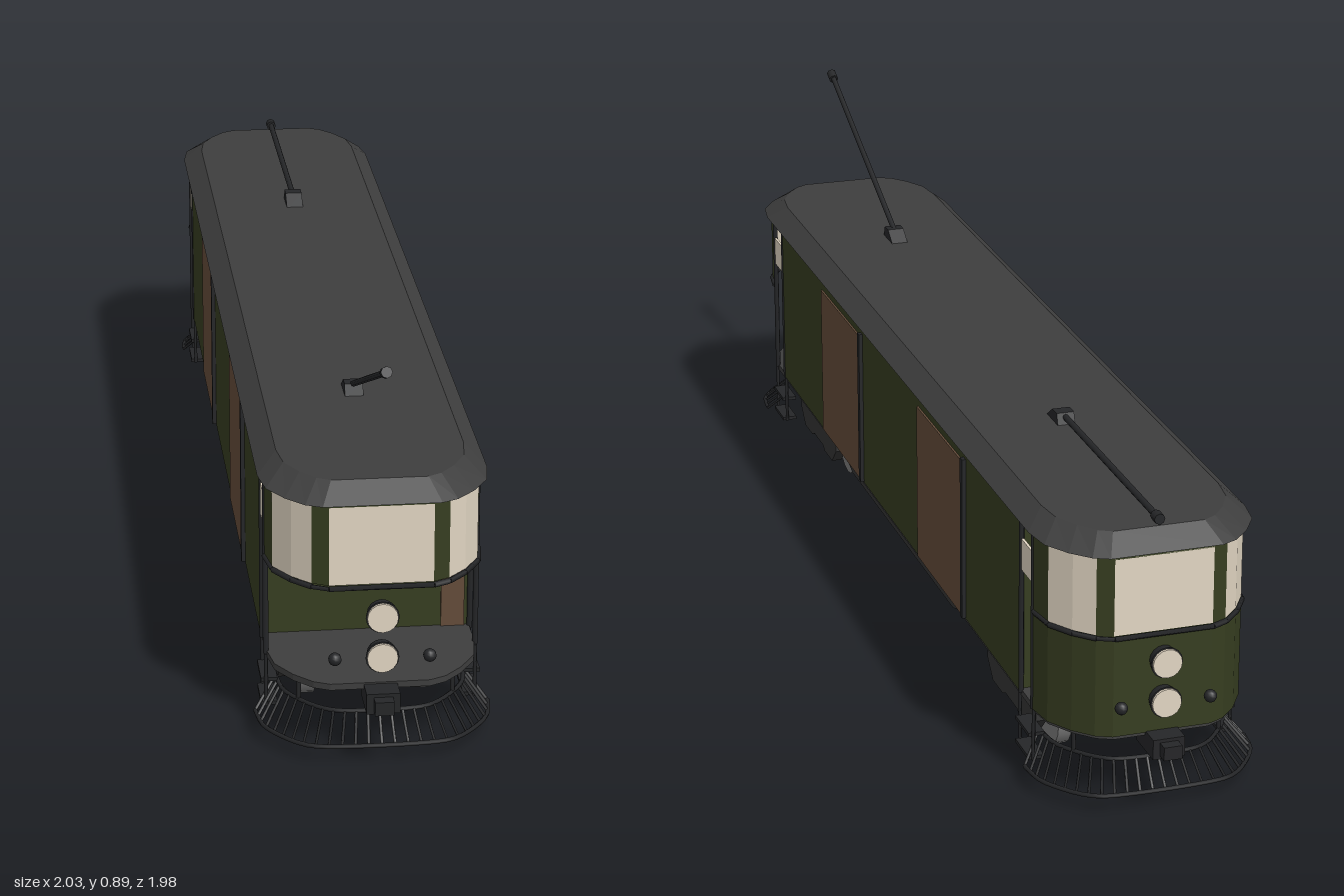
import * as THREE from 'three';

const material = (name, color, double) => {
  const m = new THREE.MeshStandardMaterial({ color });
  m.name = name;
  if (double) m.side = THREE.DoubleSide;
  return m;
};

export function createModel() {
  const green = material('bodyGreen', 0x363d20, true);
  const cream = material('paneCream', 0xe2d6c3, true);
  const brown = material('doorBrown', 0x644c3a);
  const roofGrey = material('roofGrey', 0x3e3e3e);
  const frameGrey = material('frameGrey', 0x353535);
  const iron = material('darkIron', 0x252628);
  const steel = material('wheelSteel', 0x7c7c7c);

  const model = new THREE.Group();
  model.name = 'tram';
  // The tram is laid out along local x, then turned to stand diagonally.
  const tram = new THREE.Group();
  tram.name = 'tramBody';
  tram.rotation.y = THREE.MathUtils.degToRad(44);
  model.add(tram);

  const add = (name, geo, mat, x = 0, y = 0, z = 0) => {
    const mesh = new THREE.Mesh(geo, mat);
    mesh.name = name;
    mesh.position.set(x, y, z);
    tram.add(mesh);
    return mesh;
  };
  const box = (name, mat, w, h, d, x, y, z) => add(name, new THREE.BoxGeometry(w, h, d), mat, x, y, z);
  const rod = (name, mat, a, b, r, sides = 6) => {
    const from = new THREE.Vector3(...a), to = new THREE.Vector3(...b);
    const mid = from.clone().add(to).multiplyScalar(0.5);
    const mesh = add(name, new THREE.CylinderGeometry(r, r, from.distanceTo(to), sides), mat, mid.x, mid.y, mid.z);
    mesh.quaternion.setFromUnitVectors(new THREE.Vector3(0, 1, 0), to.sub(from).normalize());
    return mesh;
  };

  // Plan of one rounded end, from the doorway post round to the other side
  const half = [[1.06, 0.225], [1.13, 0.214], [1.185, 0.18], [1.224, 0.142], [1.24, 0.108]];
  const mirrored = half.map(([u, v]) => [u, -v]).reverse();
  const endPlan = [...half, ...mirrored];

  // Horizontal slab following the whole plan, grown by a margin
  const slab = (margin, y0, y1) => {
    const pts = [];
    for (const s of [1, -1]) {
      for (const [u, v] of endPlan) {
        pts.push(new THREE.Vector2(s * (u + margin), s * (v + Math.sign(v) * margin)));
      }
    }
    const geo = new THREE.ExtrudeGeometry(new THREE.Shape(pts), { depth: y1 - y0, bevelEnabled: false });
    return geo.rotateX(-Math.PI / 2).translate(0, y0, 0);
  };
  // Upright wall between plan points
  const wall = (pts, y0, y1, s) => {
    const pos = [];
    for (let i = 0; i + 1 < pts.length; i++) {
      const [a, b] = [pts[i], pts[i + 1]];
      const A = [s * a[0], y0, s * a[1]], B = [s * b[0], y0, s * b[1]];
      const C = [s * b[0], y1, s * b[1]], D = [s * a[0], y1, s * a[1]];
      pos.push(...A, ...B, ...C, ...A, ...C, ...D);
    }
    const flip = [];
    for (let i = 0; i < pos.length; i += 9) {
      flip.push(...pos.slice(i, i + 3), ...pos.slice(i + 6, i + 9), ...pos.slice(i + 3, i + 6));
    }
    const geo = new THREE.BufferGeometry();
    geo.setAttribute('position', new THREE.Float32BufferAttribute(flip, 3));
    geo.computeVertexNormals();
    return geo;
  };

  // Roof: top edge drawn in to give sloping eaves
  const roof = slab(0.014, 0.57, 0.607);
  const p = roof.attributes.position;
  for (let i = 0; i < p.count; i++) {
    if (p.getY(i) > 0.6) {
      p.setX(i, p.getX(i) * 0.958);
      p.setZ(i, p.getZ(i) * 0.82);
    }
  }
  roof.computeVertexNormals();
  add('roof', roof, roofGrey);
  add('floor', slab(-0.004, 0.152, 0.166), roofGrey);

  // Saloon with sliding doors on both sides
  box('saloon', green, 1.95, 0.408, 0.45, 0, 0.366, 0);
  for (const v of [1, -1]) {
    for (const u of [-0.412, 0.412]) {
      box('slidingDoor', brown, 0.345, 0.37, 0.006, u, 0.35, v * 0.2265);
      box('doorEdge', iron, 0.016, 0.38, 0.012, u + v * 0.18, 0.355, v * 0.228);
    }
  }

  // Under frame with tapered ends
  const sill = new THREE.Shape([[-0.56, 0.153], [-0.42, 0.108], [0.42, 0.108], [0.56, 0.153]]
    .map(([x, y]) => new THREE.Vector2(x, y)));
  add('underFrame', new THREE.ExtrudeGeometry(sill, { depth: 0.4, bevelEnabled: false }), frameGrey, 0, 0, -0.2);

  // Bulkhead door behind the open platform
  box('bulkheadDoor', brown, 0.006, 0.4, 0.05, -0.977, 0.366, 0.185);

  for (const s of [1, -1]) {
    // Glazed upper band of each end
    const bands = [[0, 1, green], [1, 3, cream], [3, 4, green], [4, 5, cream], [5, 6, green], [6, 8, cream], [8, 9, green]];
    for (const [i, j, mat] of bands) {
      add(mat === cream ? 'endWindow' : 'windowPillar', wall(endPlan.slice(i, j + 1), 0.39, 0.562, s), mat);
    }
    add('windowHeader', wall(endPlan, 0.56, 0.572, s), green);
    // Only one platform has its lower panel
    if (s > 0) add('endPanel', wall(endPlan, 0.16, 0.39, s), green);

    for (let i = 0; i + 1 < endPlan.length; i++) {
      const [a, b] = [endPlan[i], endPlan[i + 1]];
      rod('beltRail', iron, [s * (a[0] + 0.005), 0.385, s * a[1]], [s * (b[0] + 0.005), 0.385, s * b[1]], 0.006, 4);
    }

    // Doorway posts, door panes and steps
    for (const v of [0.222, -0.222]) {
      rod('doorPost', iron, [s * 1.06, 0.16, v], [s * 1.06, 0.57, v], 0.006);
      rod('doorPost', iron, [s * 0.98, 0.16, v], [s * 0.98, 0.57, v], 0.006);
      box('doorPane', cream, 0.075, 0.07, 0.006, s * 1.025, 0.483, v);
      for (const u of [0.975, 1.065]) rod('stepHanger', iron, [s * u, 0.04, v], [s * u, 0.16, v], 0.004, 4);
      for (const y of [0.045, 0.1]) box('step', iron, 0.09, 0.008, 0.035, s * 1.02, y, v * 0.97);
    }

    // Headlamps, buffers and coupler
    for (const y of [0.325, 0.235]) {
      const rim = add('lampRim', new THREE.CylinderGeometry(0.035, 0.03, 0.024, 16), iron, s * 1.251, y, 0);
      rim.rotation.z = -s * Math.PI / 2;
      const lens = add('lampLens', new THREE.CylinderGeometry(0.032, 0.032, 0.008, 16), cream, s * 1.265, y, 0);
      lens.rotation.z = Math.PI / 2;
    }
    for (const v of [0.098, -0.098]) {
      add('buffer', new THREE.SphereGeometry(0.014, 10, 8), iron, s * 1.262, 0.235, v);
    }
    box('coupler', iron, 0.1, 0.045, 0.07, s * 1.235, 0.14, 0);
    box('couplerHead', iron, 0.03, 0.03, 0.04, s * 1.295, 0.14, 0);

    // Slatted life guard sweeping round the end
    const curve = (m, y) => new THREE.CatmullRomCurve3(endPlan.map(([u, v]) =>
      new THREE.Vector3(s * (u + m), y, s * (v + Math.sign(v) * m))));
    const top = curve(-0.025, 0.095), low = curve(0.022, 0.038);
    add('guardTopRail', new THREE.TubeGeometry(top, 32, 0.005, 5), iron);
    add('guardLowRail', new THREE.TubeGeometry(low, 32, 0.005, 5), iron);
    for (let i = 0; i <= 26; i++) {
      rod('guardSlat', iron, top.getPointAt(i / 26).toArray(), low.getPointAt(i / 26).toArray(), 0.0035, 4);
    }
    for (const t of [0.2, 0.8]) {
      const q = top.getPointAt(t);
      rod('guardHanger', iron, [q.x, 0.095, q.z], [q.x, 0.155, q.z], 0.005, 4);
    }

    // Bogie: wheels, axles, side frames and cross beam
    const cx = s * 0.8;
    for (const du of [-0.115, 0.115]) {
      rod('axle', iron, [cx + du, 0.075, -0.17], [cx + du, 0.075, 0.17], 0.012, 8);
      for (const v of [-0.125, 0.125]) {
        rod('wheel', steel, [cx + du, 0.075, v - 0.015], [cx + du, 0.075, v + 0.015], 0.075, 16);
      }
    }
    const side = new THREE.Shape([[-0.17, 0.08], [-0.13, 0.04], [-0.06, 0.04], [-0.04, 0.05], [0.04, 0.05], [0.06, 0.04],
      [0.13, 0.04], [0.17, 0.08], [0.17, 0.115], [0.13, 0.152], [-0.13, 0.152], [-0.17, 0.115]]
      .map(([x, y]) => new THREE.Vector2(x, y)));
    for (const v of [0.16, -0.185]) {
      add('bogieFrame', new THREE.ExtrudeGeometry(side, { depth: 0.025, bevelEnabled: false }), frameGrey, cx, 0, v);
    }
    box('bogieBeam', frameGrey, 0.07, 0.05, 0.32, cx, 0.125, 0);
  }

  // Trolley poles: one raised, one lying flat
  const poles = [[-0.705, -1.3, 0.62, 0.875], [0.58, 1.205, 0.622, 0.622]];
  for (const [u0, u1, y0, y1] of poles) {
    const s = Math.sign(u1);
    const base = new THREE.Shape([[-0.04, 0], [0.04, 0], [0.03, 0.028], [0.0, 0.028]].map(([x, y]) => new THREE.Vector2(x * s, y)));
    add('poleBase', new THREE.ExtrudeGeometry(base, { depth: 0.04, bevelEnabled: false }), iron, u0, 0.604, -0.02);
    rod('trolleyPole', iron, [u0, y0, 0], [u1, y1, 0], 0.007, 8);
    const dy = (y1 - y0) * 0.04, du = (u1 - u0) * 0.04;
    rod('poleHead', iron, [u1 - du, y1 - dy, 0], [u1, y1, 0], 0.012, 8);
  }
  return model;
}
